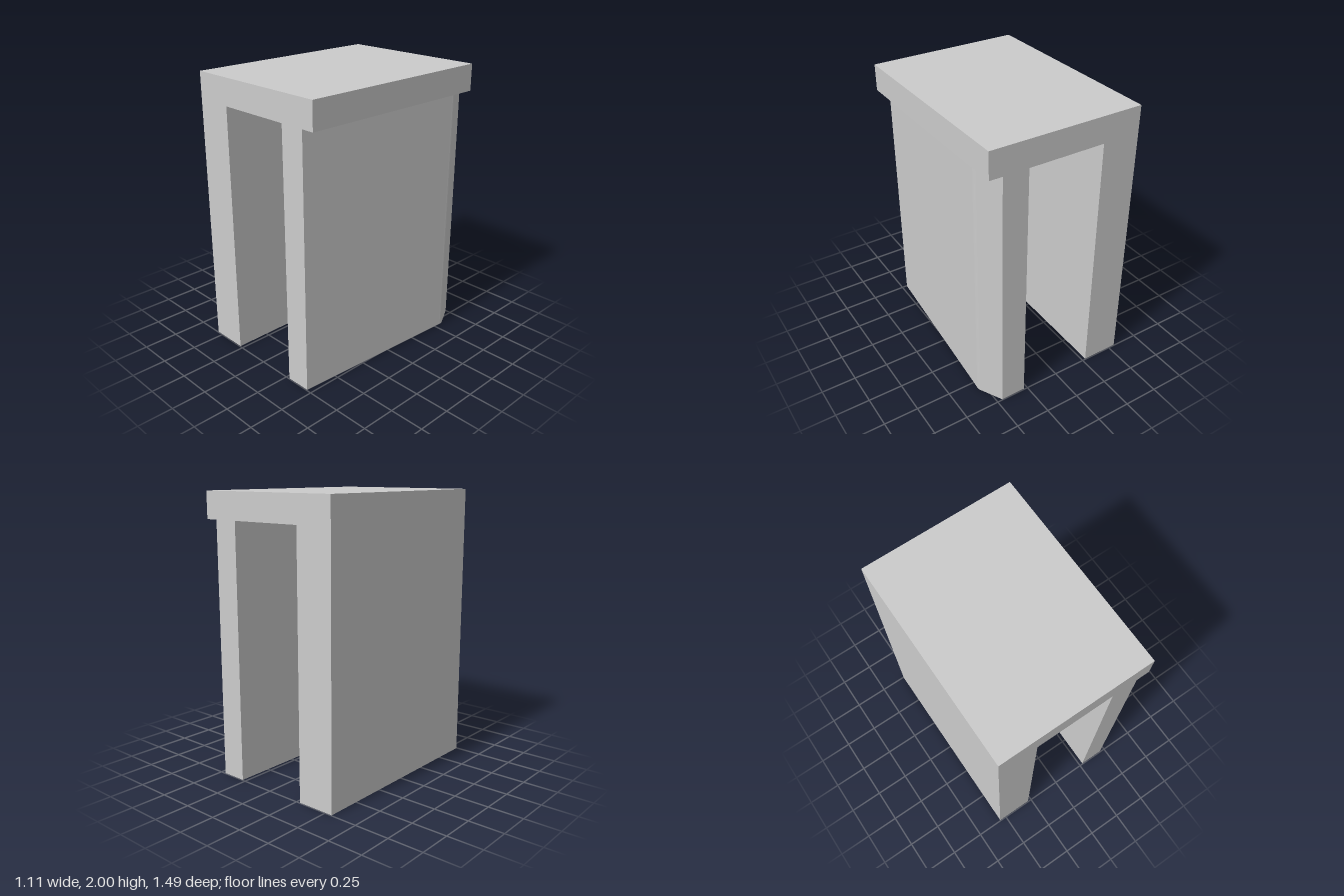
import * as THREE from 'three';

const W = 0.553, D = 0.745, H = 2; // half width, half depth, height
const UNDER = 1.81;                // underside of the top slab
const INNER = 0.277, LEG = 0.46;   // inner leg faces, outer face of the narrow leg

export function createModel() {
  const group = new THREE.Group();
  const material = new THREE.MeshStandardMaterial({ color: 0xcccccc });

  const add = (name, geometry) => {
    const mesh = new THREE.Mesh(geometry, material);
    mesh.name = name;
    group.add(mesh);
  };

  // Arch: two legs joined by a slab that overhangs the narrower leg
  const arch = new THREE.Shape([
    [-W, 0], [-INNER, 0], [-INNER, UNDER], [INNER, UNDER], [INNER, 0],
    [LEG, 0], [LEG, UNDER], [W, UNDER], [W, H], [-W, H],
  ].map(([x, y]) => new THREE.Vector2(x, y)));
  const archGeometry = new THREE.ExtrudeGeometry(arch, { depth: 2 * D, bevelEnabled: false });
  archGeometry.translate(0, 0, -D);
  add('archBody', archGeometry);

  // Tapered side: plan outline (shape y is -z) swelling towards the back, with a softened ridge
  const plan = new THREE.Shape();
  plan.moveTo(LEG, -D);
  plan.lineTo(0.549, 0.545);
  plan.quadraticCurveTo(0.553, 0.575, 0.542, 0.592);
  plan.lineTo(LEG, D);
  plan.closePath();
  const taper = new THREE.ExtrudeGeometry(plan, { depth: UNDER, bevelEnabled: false, curveSegments: 6 });
  taper.rotateX(-Math.PI / 2);
  add('taperedSide', taper);

  return group;
}
